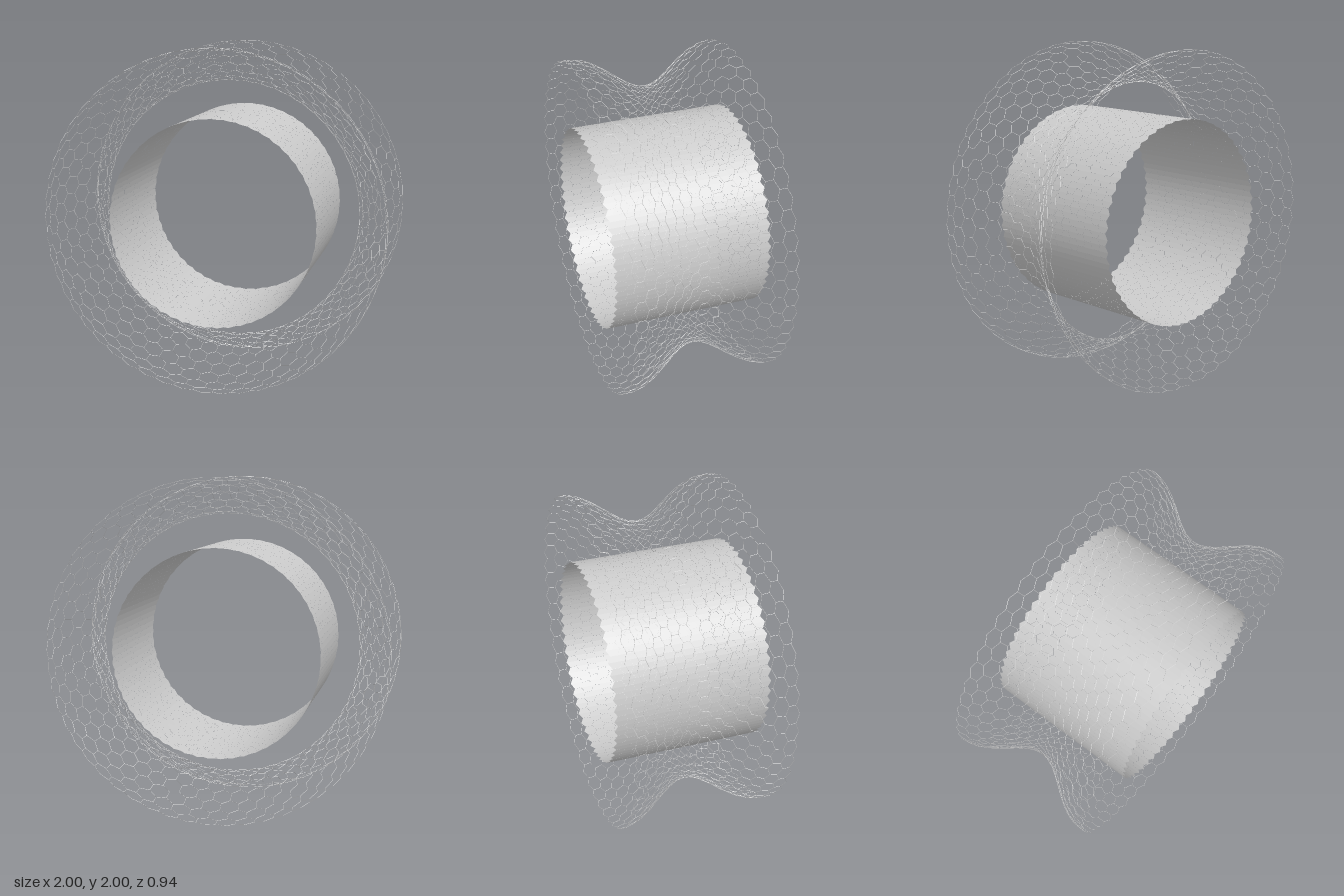
import * as THREE from 'three';
import { mergeGeometries } from 'three/addons/utils/BufferGeometryUtils.js';

const ROWS = 15;            // hexagon rows along the axis
const AROUND = 54;          // hexagons in each ring
const HALF = 0.47;          // half of the length along z
const SIDE = (2 * HALF) / (1.5 * ROWS + 0.5);
const STEP = (2 * Math.PI) / AROUND;

// Radius of the inner sleeve and of the waisted outer net
const sleeveRadius = () => 0.605;
const netRadius = (z) =>
  z > 0.42 ? 0.999 : 0.892 - 0.107 * Math.cos((2 * Math.PI * (z + 0.025)) / 0.89);

function surfacePoint(radiusAt, theta, z) {
  const r = radiusAt(z);
  return new THREE.Vector3(r * Math.cos(theta), r * Math.sin(theta), z);
}

// Corner k of a hexagon that points along the axis; k = 0 is its front tip
function corner(radiusAt, cell, k, scale = 1) {
  const a = (k * Math.PI) / 3;
  return surfacePoint(
    radiusAt,
    cell.theta + (scale * Math.sin(a) * STEP) / Math.sqrt(3),
    cell.z + scale * Math.cos(a) * SIDE
  );
}

// Staggered rings of hexagon centres
function hexCells() {
  const cells = [];
  for (let row = 0; row < ROWS; row++) {
    for (let j = 0; j < AROUND; j++) {
      cells.push({ row, theta: (j + (row % 2) / 2) * STEP, z: -HALF + SIDE * (1 + 1.5 * row) });
    }
  }
  return cells;
}

// Sleeve of separate hexagonal panels with hairline joints
function panelSleeve(cells) {
  const positions = [];
  for (const cell of cells) {
    const centre = surfacePoint(sleeveRadius, cell.theta, cell.z);
    for (let k = 0; k < 6; k++) {
      for (const p of [centre, corner(sleeveRadius, cell, k + 1, 0.99), corner(sleeveRadius, cell, k, 0.99)]) {
        positions.push(p.x, p.y, p.z);
      }
    }
  }
  const geometry = new THREE.BufferGeometry();
  geometry.setAttribute('position', new THREE.Float32BufferAttribute(positions, 3));
  geometry.computeVertexNormals();
  return geometry;
}

// Fine three-sided wire between two points
function wire(a, b) {
  const dir = b.clone().sub(a);
  const length = dir.length();
  const turn = new THREE.Quaternion().setFromUnitVectors(new THREE.Vector3(0, 1, 0), dir.normalize());
  const middle = a.clone().add(b).multiplyScalar(0.5);
  return new THREE.CylinderGeometry(0.0012, 0.0012, length, 3, 1, true)
    .applyMatrix4(new THREE.Matrix4().compose(middle, turn, new THREE.Vector3(1, 1, 1)));
}

// Each cell owns three edges; the last ring also closes the front rim
function wireNet(cells) {
  const wires = [];
  for (const cell of cells) {
    const edges = cell.row === ROWS - 1 ? [1, 2, 3, 0, 5] : [1, 2, 3];
    for (const k of edges) wires.push(wire(corner(netRadius, cell, k), corner(netRadius, cell, k + 1)));
  }
  return mergeGeometries(wires);
}

export function createModel() {
  const group = new THREE.Group();
  group.name = 'hexagonRing';
  const material = new THREE.MeshStandardMaterial({
    color: 0xcccccc, flatShading: true, side: THREE.DoubleSide,
  });
  const cells = hexCells();
  const add = (name, geometry) => {
    const mesh = new THREE.Mesh(geometry, material);
    mesh.name = name;
    mesh.position.y = 1;
    group.add(mesh);
  };
  add('innerPanelSleeve', panelSleeve(cells));
  add('outerWireNet', wireNet(cells));
  return group;
}
